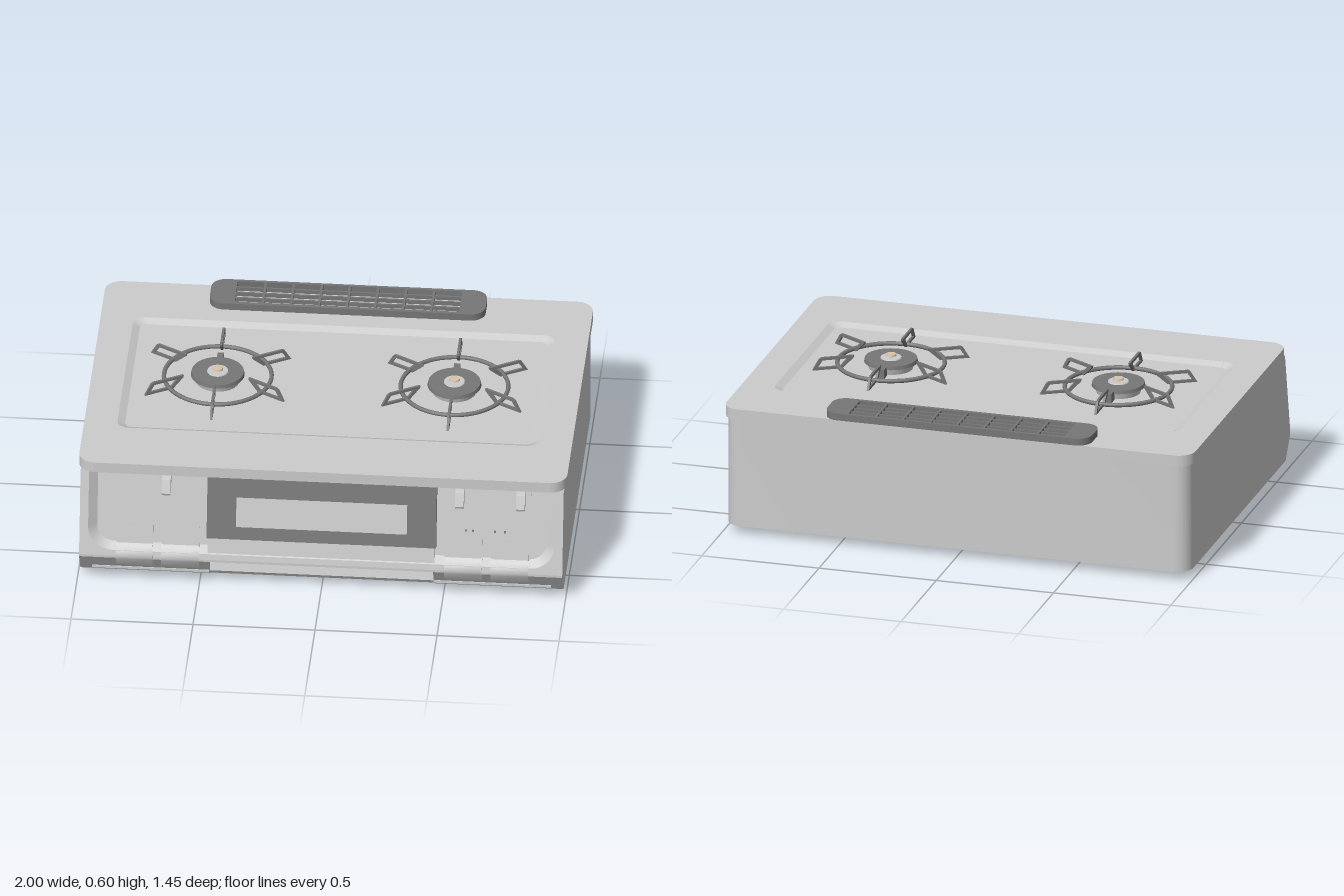
import * as THREE from 'three';
import { toCreasedNormals } from 'three/addons/utils/BufferGeometryUtils.js';

const grey = new THREE.MeshStandardMaterial({ color: 0xcccccc });
const greyThin = new THREE.MeshStandardMaterial({ color: 0xcccccc, side: THREE.DoubleSide });
const dark = new THREE.MeshStandardMaterial({ color: 0x777777 });
const tan = new THREE.MeshStandardMaterial({ color: 0xd8c4ac });

function add(parent, name, geo, mat = grey, x = 0, y = 0, z = 0) {
  const m = new THREE.Mesh(geo, mat);
  m.name = name;
  m.position.set(x, y, z);
  parent.add(m);
  return m;
}

// Box given by its limits on each axis
function box(parent, name, [x0, x1], [y0, y1], [z0, z1], mat) {
  return add(parent, name, new THREE.BoxGeometry(x1 - x0, y1 - y0, z1 - z0), mat,
    (x0 + x1) / 2, (y0 + y1) / 2, (z0 + z1) / 2);
}

const extrude = (shape, depth) => toCreasedNormals(
  new THREE.ExtrudeGeometry(shape, { depth, bevelEnabled: false, curveSegments: 10 }), 0.6);

// Rounded rectangle in plan; shape y is -z. rBack / rFront are corner radii
function plan(x0, x1, z0, z1, rBack, rFront = rBack, Type = THREE.Shape) {
  const s = new Type(), b = -z1, t = -z0, P = Math.PI;
  s.moveTo(x0 + rFront, b);
  s.lineTo(x1 - rFront, b);
  if (rFront) s.absarc(x1 - rFront, b + rFront, rFront, -P / 2, 0);
  s.lineTo(x1, t - rBack);
  if (rBack) s.absarc(x1 - rBack, t - rBack, rBack, 0, P / 2);
  s.lineTo(x0 + rBack, t);
  if (rBack) s.absarc(x0 + rBack, t - rBack, rBack, P / 2, P);
  s.lineTo(x0, b + rFront);
  if (rFront) s.absarc(x0 + rFront, b + rFront, rFront, P, P * 1.5);
  return s;
}
const slab = (shape, y0, y1) => extrude(shape, y1 - y0).rotateX(-Math.PI / 2).translate(0, y0, 0);

// Side profile of [z, y] points, swept from x0 to x1
function sweepX(pts, x0, x1) {
  const s = new THREE.Shape(pts.map(p => new THREE.Vector2(...p)));
  return extrude(s, x1 - x0).rotateY(-Math.PI / 2).translate(x1, 0, 0);
}

// Sloped strip joining two contours of equal length at heights za and zb
function strip(a, b, za, zb) {
  const pos = [], idx = [];
  a.forEach((p, i) => {
    pos.push(p.x, p.y, za, b[i].x, b[i].y, zb);
    if (i) idx.push(2 * i - 2, 2 * i - 1, 2 * i, 2 * i, 2 * i - 1, 2 * i + 1);
  });
  const g = new THREE.BufferGeometry();
  g.setAttribute('position', new THREE.Float32BufferAttribute(pos, 3));
  g.setIndex(idx);
  g.computeVertexNormals();
  return g;
}

// U-shaped contour, open at the top
function uContour(hw, bottom, r, top) {
  const p = new THREE.Path();
  p.moveTo(-hw, top);
  p.lineTo(-hw, bottom + r);
  p.absarc(-hw + r, bottom + r, r, Math.PI, Math.PI * 1.5);
  p.lineTo(hw - r, bottom);
  p.absarc(hw - r, bottom + r, r, -Math.PI / 2, 0);
  p.lineTo(hw, top);
  return p.getPoints(8);
}

function createBurner() {
  const g = new THREE.Group();
  g.name = 'burner';
  const disc = (name, r0, r1, y0, y1, mat) =>
    add(g, name, new THREE.CylinderGeometry(r1, r0, y1 - y0, 40), mat, 0, (y0 + y1) / 2, 0);
  disc('burnerBase', 0.09, 0.1, 0.53, 0.562);
  disc('burnerCap', 0.11, 0.107, 0.558, 0.573, dark);
  disc('burnerCentre', 0.045, 0.042, 0.57, 0.577);
  disc('sensorStem', 0.012, 0.012, 0.57, 0.588);
  disc('sensorTip', 0.022, 0.02, 0.582, 0.59, tan);
  box(g, 'igniter', [-0.013, 0.013], [0.53, 0.57], [-0.145, -0.1], dark);
  add(g, 'grateRing', new THREE.TorusGeometry(0.22, 0.009, 10, 56).rotateX(Math.PI / 2), dark, 0, 0.552, 0);
  // Open-framed arms of the pan support
  const v = pts => pts.map(p => new THREE.Vector2(...p));
  const arm = new THREE.Shape(v([[0.205, 0.545], [0.33, 0.545], [0.302, 0.592], [0.292, 0.598], [0.155, 0.598], [0.158, 0.588]]));
  arm.holes.push(new THREE.Path(v([[0.212, 0.556], [0.184, 0.586], [0.288, 0.586], [0.308, 0.556]])));
  const armGeo = new THREE.ExtrudeGeometry(arm, { depth: 0.01, bevelEnabled: false }).translate(0, 0, -0.005);
  for (let i = 0; i < 6; i++) add(g, 'grateArm', armGeo, dark).rotation.y = Math.PI / 6 + i * Math.PI / 3;
  return g;
}

export function createModel() {
  const model = new THREE.Group();
  model.name = 'tableStove';

  // Main housing with rounded rear corners
  add(model, 'housing', slab(plan(-0.99, 0.99, -0.715, 0.5, 0.07, 0), 0.035, 0.5));
  const upper = [[0.725, 0.13], [0.725, 0.14], [0.695, 0.14], [0.62, 0.5], [0.5, 0.5]];
  const sideProfile = [[0.5, 0.035], [0.66, 0.035], ...upper];
  const midProfile = [[0.5, 0.035], [0.63, 0.035], [0.63, 0.125], ...upper];
  add(model, 'frontRight', sweepX(sideProfile, -0.99, -0.46));
  add(model, 'frontLeft', sweepX(sideProfile, 0.46, 0.99));
  add(model, 'frontMiddle', sweepX(midProfile, -0.46, 0.46));
  add(model, 'grillHandle', sweepX([[0.6, 0.037], [0.658, 0.037], [0.67, 0.055], [0.65, 0.128], [0.6, 0.128]], -0.458, 0.458));

  // Top plate with a shallow sunken field
  const plateZ = [-0.72, 0.66];
  add(model, 'topPlateBase', slab(plan(-1, 1, ...plateZ, 0.07), 0.499, 0.53));
  const rim = plan(-1, 1, ...plateZ, 0.07);
  const fieldTop = plan(-0.865, 0.865, -0.455, 0.385, 0.05, 0.05, THREE.Path);
  const fieldBottom = plan(-0.835, 0.835, -0.425, 0.355, 0.03, 0.03, THREE.Path);
  rim.holes.push(fieldTop);
  add(model, 'topPlateRim', slab(rim, 0.53, 0.545));
  add(model, 'sunkenFieldWall', strip(fieldTop.getPoints(8), fieldBottom.getPoints(8), 0.545, 0.5302)
    .rotateX(-Math.PI / 2), greyThin);

  // Burners
  for (const x of [-0.485, 0.485]) {
    const b = createBurner();
    b.position.set(x, 0, -0.03);
    model.add(b);
  }

  // Rear exhaust vent: frame, crossbars and dividers
  const frame = plan(-0.565, 0.565, -0.725, -0.54, 0.06);
  frame.holes.push(plan(-0.46, 0.46, -0.712, -0.557, 0.005, 0.005, THREE.Path));
  add(model, 'ventFrame', slab(frame, 0.545, 0.575), dark);
  for (const z of [-0.675, -0.635, -0.595])
    box(model, 'ventBar', [-0.46, 0.46], [0.555, 0.572], [z - 0.004, z + 0.004], dark);
  for (let i = 1; i < 8; i++) {
    const x = -0.46 + i * 0.115;
    box(model, 'ventDivider', [x - 0.005, x + 0.005], [0.55, 0.574], [-0.712, -0.557], dark);
  }

  // Sloped control panel: local y runs up the slope
  const panel = new THREE.Group();
  panel.name = 'controlPanel';
  panel.position.set(0, 0.14, 0.725);
  panel.rotation.x = -Math.atan(0.075 / 0.36);
  model.add(panel);
  const top = 0.367, floor = -0.0292;
  const outer = uContour(0.955, 0.025, 0.1, top), inner = uContour(0.92, 0.055, 0.07, top);
  const corners = [[-0.99, top], [-0.99, 0], [0.99, 0], [0.99, top]].map(p => new THREE.Vector2(...p));
  const surround = new THREE.Shape([...corners, ...outer.slice().reverse()]);
  add(panel, 'panelSurround', extrude(surround, 0.03), grey, 0, 0, -0.03);
  add(panel, 'panelRecessWall', strip(outer, inner, 0, floor), greyThin);

  // Grill door with window
  box(panel, 'grillDoorLower', [-0.465, 0.465], [0.02, 0.092], [floor, -0.004]);
  box(panel, 'grillDoor', [-0.47, 0.47], [0.092, top], [floor, -0.006], dark);
  box(panel, 'grillWindow', [-0.35, 0.35], [0.148, 0.276], [-0.01, -0.003]);

  // Push buttons: a flat tile above, a curved grip over the lip
  const grip = [[0.6, 0.082], [0.696, 0.082], [0.724, 0.126], [0.727, 0.138], [0.724, 0.158], [0.708, 0.178], [0.694, 0.19], [0.66, 0.19]];
  for (const [x0, x1] of [[-0.84, -0.69], [-0.655, -0.5], [0.505, 0.66], [0.695, 0.85]]) {
    box(panel, 'buttonTile', [x0, x1], [0.03, 0.133], [floor, -0.018]);
    add(model, 'buttonGrip', sweepX(grip, x0, x1));
  }

  // Flame levers in shallow slots
  const lever = [[0.63, 0.49], [0.655, 0.49], [0.672, 0.485], [0.692, 0.43], [0.688, 0.42], [0.665, 0.42], [0.64, 0.46]];
  for (const [x, s0, s1] of [[-0.637, -0.675, -0.535], [0.565, 0.51, 0.63], [0.815, 0.64, 0.855]]) {
    box(panel, 'leverSlot', [s0, s1], [0.335, 0.362], [floor, -0.026]);
    add(model, 'flameLever', sweepX(lever, x - 0.018, x + 0.018));
  }
  for (const x of [0.59, 0.62, 0.71, 0.75])
    box(panel, 'indicator', [x - 0.004, x + 0.004], [0.165, 0.173], [floor, -0.026], dark);

  // Lower trim, tray cover and feet
  for (const s of [-0.7, 0.7])
    box(model, 'lowerTrim', [s - 0.24, s + 0.24], [0.053, 0.063], [0.62, 0.684]);
  box(model, 'trayCover', [-0.46, 0.46], [0.028, 0.037], [-0.47, 0.57]);
  for (const x of [-0.83, 0.83]) for (const z of [-0.535, 0.525])
    add(model, 'foot', new THREE.CylinderGeometry(0.043, 0.043, 0.036, 24), dark, x, 0.018, z);

  return model;
}
